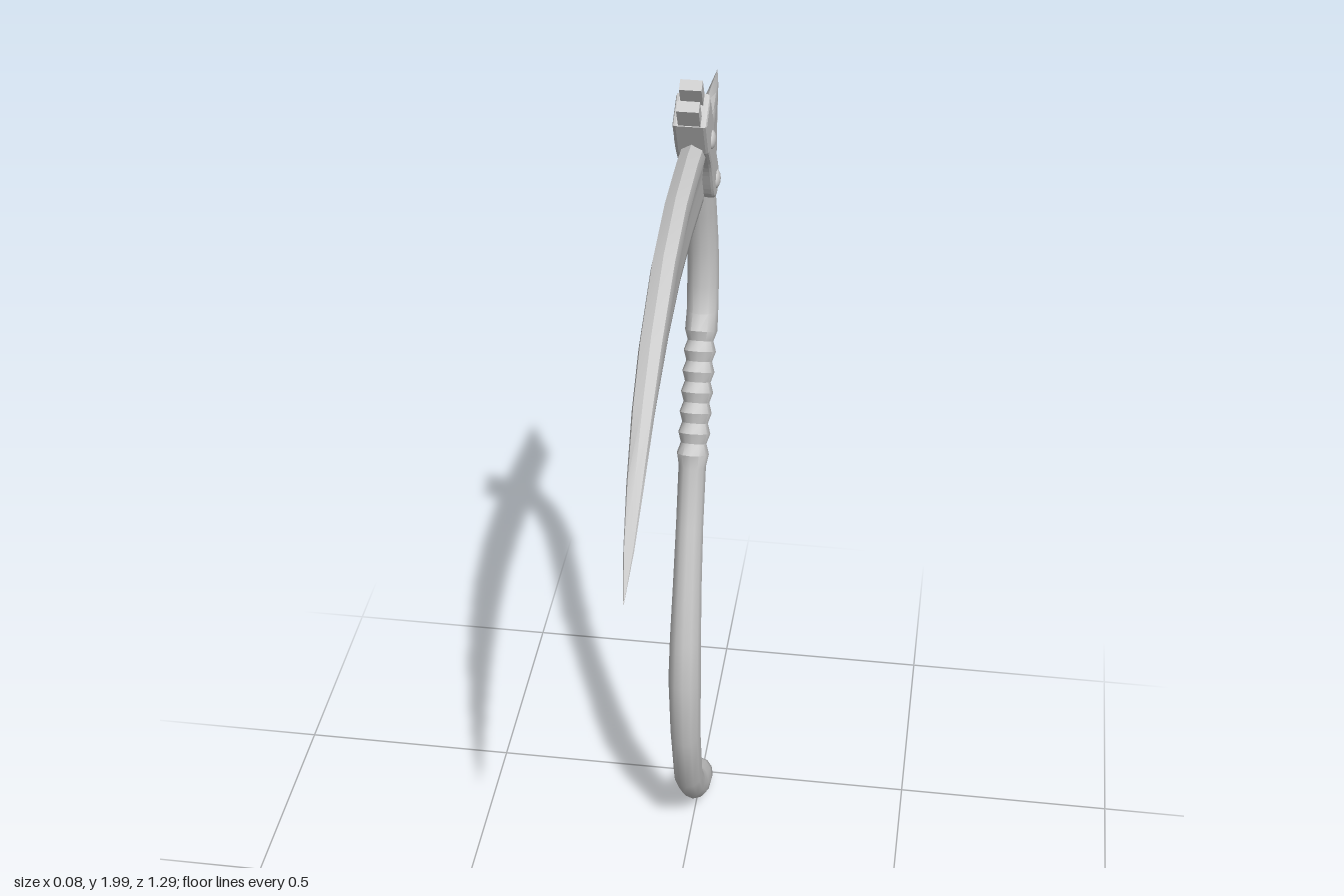
import * as THREE from 'three';
import { toCreasedNormals } from 'three/addons/utils/BufferGeometryUtils.js';

const material = new THREE.MeshStandardMaterial({ color: 0xcccccc });

// Skin a list of closed rings and cap both ends.
function loft(rings, crease) {
  const n = rings[0].length, pos = [], index = [];
  rings.forEach(r => r.forEach(p => pos.push(p.x, p.y, p.z)));
  for (let i = 0; i < rings.length - 1; i++) {
    for (let j = 0; j < n; j++) {
      const a = i * n + j, b = i * n + (j + 1) % n;
      index.push(a, b, b + n, a, b + n, a + n);
    }
  }
  const last = (rings.length - 1) * n;
  for (let j = 1; j < n - 1; j++) {
    index.push(0, j + 1, j, last, last + j, last + j + 1);
  }
  const g = new THREE.BufferGeometry();
  g.setAttribute('position', new THREE.Float32BufferAttribute(pos, 3));
  g.setIndex(index);
  return toCreasedNormals(g, crease);
}

function add(group, name, geometry) {
  const mesh = new THREE.Mesh(geometry, material);
  mesh.name = name;
  group.add(mesh);
  return mesh;
}

// Oval rings along a path of [z, y, radius in the side plane, half width in x].
function handleRings(path, sides) {
  return path.map(([z, y, r, w], i) => {
    const a = path[Math.max(i - 1, 0)], b = path[Math.min(i + 1, path.length - 1)];
    const t = new THREE.Vector2(b[0] - a[0], b[1] - a[1]).normalize();
    return Array.from({ length: sides }, (_, j) => {
      const q = j / sides * Math.PI * 2, s = Math.sin(q) * r;
      return new THREE.Vector3(Math.cos(q) * w, y + t.x * s, z - t.y * s);
    });
  });
}

export function createModel() {
  const model = new THREE.Group();

  // Curved handle with a swollen foot and a ribbed grip
  const path = [
    [-0.475, 0.028, 0.022, 0.02], [-0.455, 0.04, 0.039, 0.032], [-0.39, 0.083, 0.05, 0.037],
    [-0.345, 0.11, 0.043, 0.036], [-0.3, 0.15, 0.037, 0.034], [-0.235, 0.23, 0.036, 0.034],
    [-0.185, 0.40, 0.041, 0.035], [-0.166, 0.57, 0.04, 0.037], [-0.178, 0.68, 0.039, 0.035],
    [-0.205, 0.81, 0.038, 0.032], [-0.24, 0.95, 0.036, 0.03], [-0.278, 1.08, 0.036, 0.03]
  ];
  const ribs = 6;
  for (let i = 0; i <= ribs * 2; i++) {
    const k = i / (ribs * 2), ridge = i % 2 === 0;
    path.push([-0.288 - 0.125 * k, 1.105 + 0.235 * k, ridge ? 0.049 : 0.034, ridge ? 0.035 : 0.028]);
  }
  path.push([-0.432, 1.38, 0.038, 0.034], [-0.438, 1.45, 0.036, 0.034], [-0.434, 1.54, 0.036, 0.033],
    [-0.41, 1.64, 0.036, 0.031], [-0.378, 1.725, 0.03, 0.03]);
  add(model, 'handle', loft(handleRings(path, 12), 0.75));

  // Blade: rows of [z, top, bottom, thickness scale], from the heel to the tip
  const stations = [
    [-0.645, 1.838, 1.642, 0.1], [-0.55, 1.845, 1.652, 0.45], [-0.45, 1.851, 1.66, 0.8],
    [-0.35, 1.858, 1.668, 1], [-0.18, 1.868, 1.678, 1], [-0.02, 1.862, 1.673, 1],
    [0.14, 1.825, 1.643, 1], [0.3, 1.745, 1.588, 0.95], [0.4, 1.67, 1.54, 0.85],
    [0.5, 1.57, 1.483, 0.65], [0.58, 1.475, 1.435, 0.4], [0.645, 1.397, 1.394, 0.03]
  ];
  // Half section: [half thickness, height fraction], sharp edge to spine
  const half = [[0.009, 0.05], [0.011, 0.15], [0.011, 0.4], [0.017, 0.62], [0.025, 0.8], [0.021, 0.92]];
  const section = [[0, 0], ...half, [0, 1], ...half.slice().reverse().map(([x, f]) => [-x, f])];
  const rings = stations.map(([z, top, bottom, s]) =>
    section.map(([x, f]) => new THREE.Vector3(x * s, bottom + (top - bottom) * f, z)));
  add(model, 'blade', loft(rings, 0.7));

  // Clamp head, drawn upright and then leaned forward over the blade
  const head = new THREE.Group();
  head.name = 'clampHead';
  const X = new THREE.Vector3(1, 0, 0);
  const up = new THREE.Vector3(0, 0.835, 0.55).normalize();
  const frame = new THREE.Matrix4().makeBasis(up.clone().cross(X), up, X).setPosition(0, 1.72, -0.38);
  frame.decompose(head.position, head.quaternion, head.scale);
  model.add(head);

  const outline = new THREE.Shape();
  outline.moveTo(0, -0.042);
  outline.quadraticCurveTo(0.036, -0.04, 0.036, 0);
  outline.bezierCurveTo(0.036, 0.05, 0.026, 0.08, 0.036, 0.13);
  outline.lineTo(0.042, 0.17);
  outline.lineTo(0.038, 0.262);
  outline.lineTo(-0.038, 0.262);
  outline.lineTo(-0.042, 0.17);
  outline.lineTo(-0.036, 0.13);
  outline.bezierCurveTo(-0.026, 0.08, -0.036, 0.05, -0.036, 0);
  outline.quadraticCurveTo(-0.036, -0.04, 0, -0.042);
  const strap = new THREE.ExtrudeGeometry(outline, {
    depth: 0.054, bevelThickness: 0.007, bevelSize: 0.007, bevelOffset: -0.007, bevelSegments: 2, curveSegments: 8
  });
  add(head, 'strap', strap.translate(0, 0, -0.027));

  // Two prongs at the forked top
  for (const side of [-1, 1]) {
    add(head, 'prong', new THREE.BoxGeometry(0.024, 0.08, 0.044)).position.set(side * 0.024, 0.273, 0);
  }

  // Domed rivets on both sides
  for (const v of [0, 0.155]) {
    for (const side of [-1, 1]) {
      const rivet = add(head, 'rivet', new THREE.SphereGeometry(0.02, 14, 10));
      rivet.position.set(0, v, side * 0.032);
      rivet.scale.z = 0.5;
    }
  }
  return model;
}
